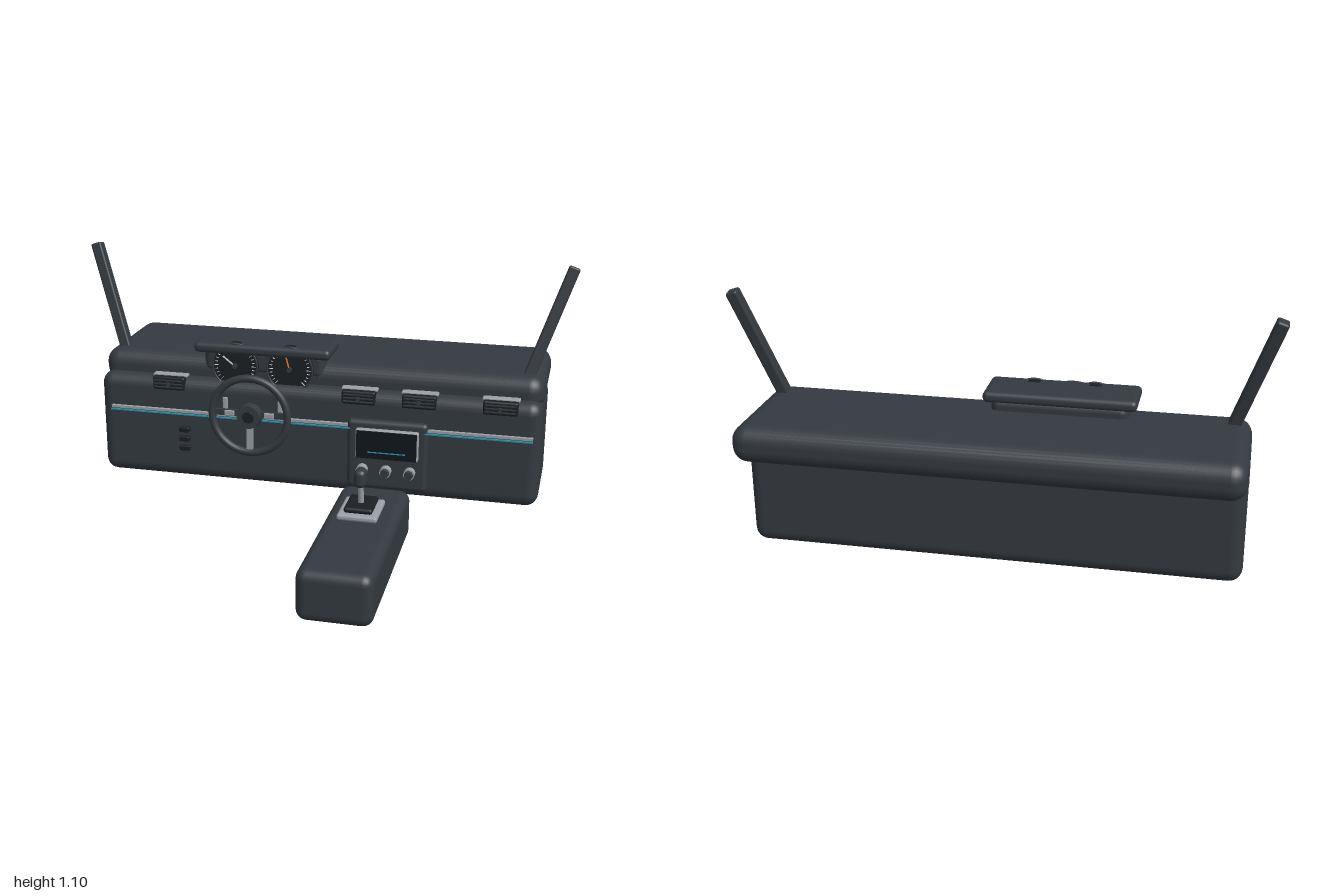
import * as THREE from 'three';
import { RoundedBoxGeometry } from 'three/addons/geometries/RoundedBoxGeometry.js';

const mat = (color) => new THREE.MeshStandardMaterial({ color });

export function createModel() {
  const model = new THREE.Group();
  const dark = mat(0x343a40), black = mat(0x1c2024), chrome = mat(0x9a9fa6);
  const cyan = mat(0x2497ad), white = mat(0xd5d9dc), orange = mat(0xd9832b), glass = mat(0x10161c);

  const add = (name, geometry, material, pos, parent = model) => {
    const mesh = new THREE.Mesh(geometry, material);
    mesh.name = name;
    mesh.position.set(...pos);
    parent.add(mesh);
    return mesh;
  };
  const group = (name, x, y, z) => {
    const g = new THREE.Group();
    g.name = name;
    g.position.set(x, y, z);
    model.add(g);
    return g;
  };
  const rbox = (w, h, d, r, s = 3) => new RoundedBoxGeometry(w, h, d, s, r);
  const box = (w, h, d) => new THREE.BoxGeometry(w, h, d);
  // Disc whose axis points to the front
  const disc = (r1, r2, depth, sides = 32) => new THREE.CylinderGeometry(r1, r2, depth, sides).rotateX(Math.PI / 2);

  // Dashboard body, top pad and console
  add('dashBody', rbox(1.8, 0.43, 0.4, 0.05), dark, [0.005, 0.385, -0.32]);
  add('topPad', rbox(1.8, 0.14, 0.5, 0.06), dark, [0.005, 0.615, -0.423]);
  add('console', rbox(0.28, 0.2, 0.825, 0.04), dark, [0.265, 0.1, 0.263]);

  // Trim strips across the front
  add('trimStrip', box(1.715, 0.01, 0.015), chrome, [0.018, 0.467, -0.105]);
  add('accentStrip', box(1.715, 0.005, 0.008), cyan, [0.018, 0.458, -0.092]);

  // Windscreen pillars, mirrored
  for (const s of [-1, 1]) {
    const base = new THREE.Vector3(0.005 + s * 0.815, 0.62, -0.258);
    const top = new THREE.Vector3(0.005 + s * 0.977, 1.09, -0.352);
    const dir = top.clone().sub(base);
    const pillar = add('pillar', rbox(0.045, dir.length(), 0.045, 0.008, 2), dark,
      base.clone().add(top).multiplyScalar(0.5).toArray());
    pillar.quaternion.setFromUnitVectors(new THREE.Vector3(0, 1, 0), dir.normalize());
  }

  // Air vents: frame, dark opening, slats and tab
  for (const x of [-0.595, 0.19, 0.43, 0.745]) {
    const vent = group('airVent', x, 0.578, -0.13);
    add('ventFrame', rbox(0.145, 0.012, 0.035, 0.005, 2), chrome, [0, 0.026, -0.025], vent);
    add('ventBox', rbox(0.135, 0.055, 0.04, 0.008, 2), black, [0, -0.002, -0.005], vent);
    for (let i = 0; i < 3; i++)
      add('ventSlat', box(0.12, 0.004, 0.008), dark, [0, -0.016 + i * 0.014, 0.018], vent);
    add('ventTab', box(0.012, 0.012, 0.014), dark, [0, -0.002, 0.023], vent);
  }

  // Instrument hood and cluster
  add('clusterHood', rbox(0.56, 0.042, 0.19, 0.018), dark, [-0.21, 0.732, -0.228]);
  add('clusterHousing', rbox(0.5, 0.11, 0.15, 0.03), dark, [-0.21, 0.675, -0.245]);
  for (const [x, needleColor, angle] of [[-0.322, white, 0.9], [-0.096, orange, 0.25]]) {
    const gauge = group('gauge', x, 0.662, -0.155);
    add('gaugeFace', disc(0.094, 0.094, 0.03), black, [0, 0, -0.012], gauge);
    add('gaugeRing', new THREE.TorusGeometry(0.093, 0.004, 8, 40), dark, [0, 0, 0.006], gauge);
    for (let i = 0; i <= 24; i++) {
      const a = -Math.PI * 0.25 + (i / 24) * Math.PI * 1.5;
      const major = i % 4 === 0;
      const tick = add('tick', box(major ? 0.018 : 0.01, 0.002, 0.004), white,
        [Math.cos(a) * 0.078, Math.sin(a) * 0.078, 0.006], gauge);
      tick.rotation.z = a;
    }
    const needle = add('needle', box(0.005, 0.065, 0.004), needleColor,
      [-Math.sin(angle) * 0.03, Math.cos(angle) * 0.03, 0.01], gauge);
    needle.rotation.z = angle;
    add('needleHub', disc(0.01, 0.01, 0.012, 16), dark, [0, 0, 0.01], gauge);
  }

  // Steering wheel with three spokes, thumb pads and paddles
  const wheel = group('steeringWheel', -0.21, 0.522, 0.035);
  add('rim', new THREE.TorusGeometry(0.152, 0.015, 14, 56), dark, [0, 0, 0], wheel);
  add('hub', disc(0.046, 0.05, 0.036), dark, [0, 0, 0.007], wheel);
  add('hubCap', disc(0.022, 0.024, 0.006, 24), black, [0, 0, 0.027], wheel);
  add('lowerSpoke', box(0.024, 0.11, 0.014), chrome, [0, -0.095, 0], wheel);
  for (const s of [-1, 1]) {
    add('sideSpoke', box(0.11, 0.024, 0.014), dark, [s * 0.095, 0.008, 0], wheel);
    add('thumbPad', rbox(0.04, 0.022, 0.012, 0.004, 2), chrome, [s * 0.08, 0.008, 0.008], wheel);
    add('paddle', rbox(0.02, 0.075, 0.01, 0.004, 2), chrome, [s * 0.112, 0.016, -0.044], wheel);
  }

  // Switches beside the wheel
  for (let i = 0; i < 3; i++)
    add('switch', rbox(0.045, 0.022, 0.02, 0.005, 2), black, [-0.532, 0.305 + i * 0.04, -0.115]);

  // Centre panel, screen and knobs
  add('centrePanel', rbox(0.32, 0.285, 0.04, 0.018), dark, [0.312, 0.353, -0.107]);
  add('screenFrame', rbox(0.25, 0.122, 0.026, 0.008, 2), chrome, [0.315, 0.406, -0.077]);
  add('screen', box(0.238, 0.112, 0.01), glass, [0.315, 0.406, -0.062]);
  add('screenLine', box(0.15, 0.004, 0.003), cyan, [0.315, 0.377, -0.056]);
  for (const x of [0.217, 0.312, 0.407]) {
    const knob = group('knob', x, 0.294, -0.065);
    add('knobCollar', disc(0.022, 0.022, 0.03), chrome, [0, 0, -0.007], knob);
    add('knobGrip', disc(0.016, 0.018, 0.02, 24), dark, [0, 0, 0.014], knob);
  }

  // Gear lever
  const gear = group('gearLever', 0.26, 0, 0.15);
  add('gearPlate', rbox(0.155, 0.024, 0.19, 0.01, 2), chrome, [0, 0.221, 0], gear);
  add('gearBoot', rbox(0.11, 0.022, 0.145, 0.01, 2), black, [0, 0.243, 0], gear);
  const shaft = add('gearShaft', new THREE.CylinderGeometry(0.01, 0.012, 0.11, 16), chrome, [0, 0.295, 0.009], gear);
  shaft.rotation.x = 0.13;
  add('gearKnob', rbox(0.045, 0.072, 0.064, 0.02, 4), dark, [0, 0.36, 0.018], gear);

  return model;
}
